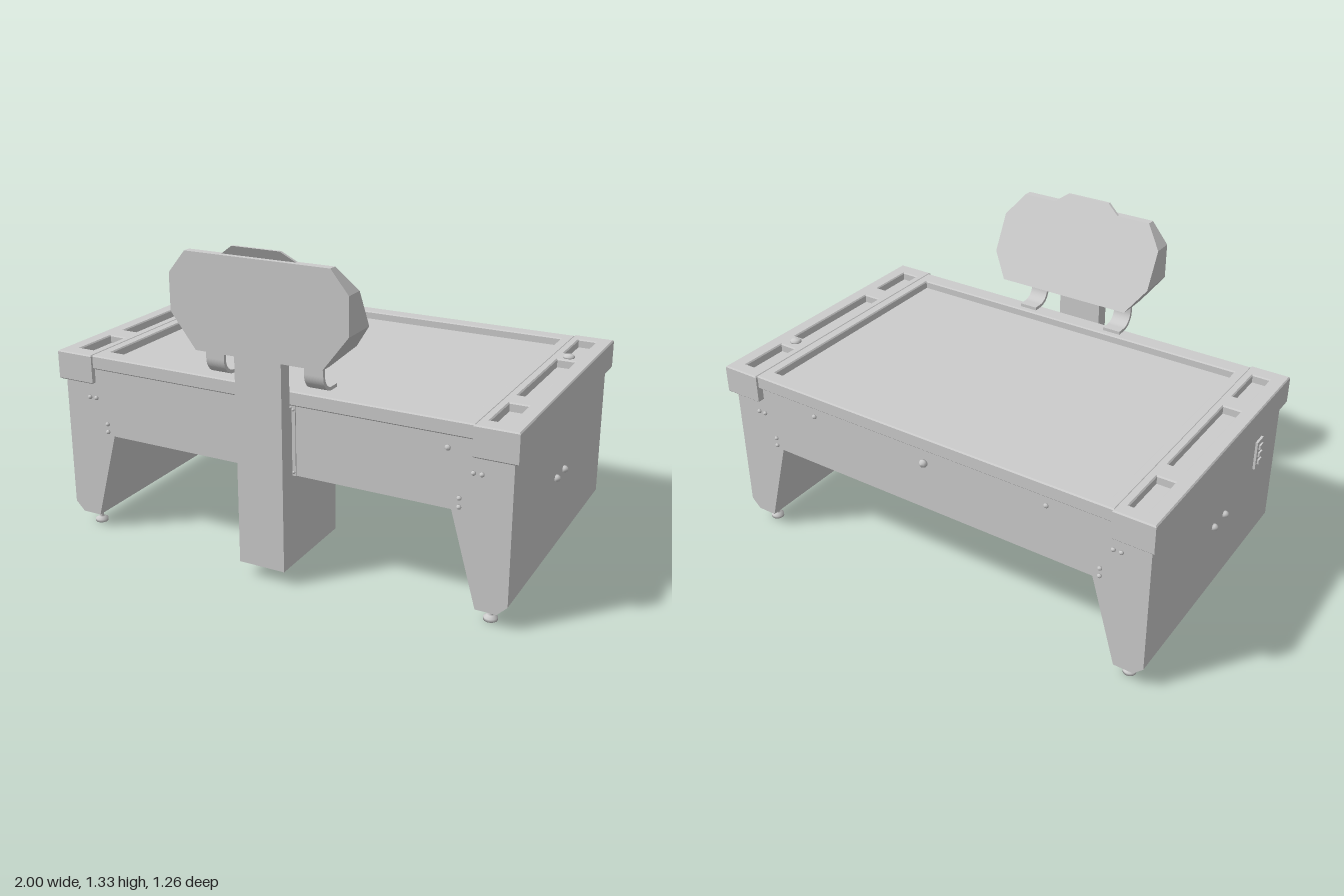
import * as THREE from 'three';
import { ConvexGeometry } from 'three/addons/geometries/ConvexGeometry.js';

const grey = new THREE.MeshStandardMaterial({ color: 0xcccccc });

export function createModel() {
  const model = new THREE.Group();

  const add = (name, geometry, x = 0, y = 0, z = 0) => {
    const mesh = new THREE.Mesh(geometry, grey);
    mesh.name = name;
    mesh.position.set(x, y, z);
    model.add(mesh);
    return mesh;
  };

  // Box given by its limits
  const box = (name, x0, x1, y0, y1, z0, z1) =>
    add(name, new THREE.BoxGeometry(x1 - x0, y1 - y0, z1 - z0), (x0 + x1) / 2, (y0 + y1) / 2, (z0 + z1) / 2);

  const polygon = (points) => new THREE.Shape(points.map(([x, y]) => new THREE.Vector2(x, y)));
  const rect = ([x0, x1, z0, z1]) => polygon([[x0, -z1], [x1, -z1], [x1, -z0], [x0, -z0]]);

  // Horizontal slab with rectangular holes and a fine edge bevel
  const slab = (name, outline, holes, y0, y1) => {
    const b = 0.005;
    const shape = rect(outline);
    shape.holes = holes.map(rect);
    const geometry = new THREE.ExtrudeGeometry(shape, {
      depth: y1 - y0 - 2 * b, bevelThickness: b, bevelSize: b, bevelOffset: -b, bevelSegments: 1,
    });
    geometry.rotateX(-Math.PI / 2);
    add(name, geometry, 0, y0 + b, 0);
  };

  // Small domed bolt head whose axis points along +y before turning
  const bolt = (name, r, h, x, y, z, rx = 0, rz = 0) => {
    const profile = [[0, 0], [r, 0], [r, h * 0.4], [r * 0.7, h * 0.85], [0, h]];
    const geometry = new THREE.LatheGeometry(profile.map(([a, c]) => new THREE.Vector2(a, c)), 16);
    add(name, geometry, x, y, z).rotation.set(rx, 0, rz);
  };

  // Body with solid tapered legs; its top is the playfield and pocket floor
  const half = [[0.75, 0.44], [0.855, 0.06], [0.94, 0.06], [0.98, 0.1], [0.98, 0.75]];
  const mirrored = half.map(([x, y]) => [-x, y]).reverse();
  const body = new THREE.ExtrudeGeometry(polygon([...half, ...mirrored]), { depth: 1.15, bevelEnabled: false });
  add('body', body, 0, 0, -0.6);

  // Rim around the playfield and the end caps with three pockets each
  slab('playfieldRim', [-0.835, 0.835, -0.62, 0.56], [[-0.79, 0.79, -0.555, 0.485]], 0.725, 0.784);
  for (const s of [-1, 1]) {
    const span = (a, b) => (s > 0 ? [a, b] : [-b, -a]);
    const pockets = [[-0.57, -0.36], [-0.27, 0.21], [0.3, 0.5]].map((z) => [...span(0.865, 0.938), ...z]);
    slab('endCap', [...span(0.83, 1), -0.63, 0.57], pockets, 0.662, 0.785);
  }
  bolt('topKnob', 0.024, 0.016, 0.9, 0.784, -0.31);

  // Levelling feet
  const foot = [[0, 0], [0.027, 0], [0.027, 0.012], [0.014, 0.02], [0.009, 0.024], [0.009, 0.065]];
  const footGeometry = new THREE.LatheGeometry(foot.map(([r, y]) => new THREE.Vector2(r, y)), 20);
  for (const x of [-0.897, 0.897]) {
    for (const z of [-0.54, 0.49]) add('foot', footGeometry, x, 0, z);
  }

  // Bolts on the front and back faces
  const faces = [[0.55, Math.PI / 2], [-0.6, -Math.PI / 2]];
  for (const [z, turn] of faces) {
    for (const s of [-1, 1]) {
      for (const [x, y] of [[0.83, 0.597], [0.862, 0.597], [0.78, 0.49], [0.78, 0.455]]) {
        bolt('sideBolt', 0.009, 0.01, s * x, y, z, turn);
      }
    }
  }
  bolt('frontButton', 0.011, 0.01, 0.73, 0.675, 0.55, Math.PI / 2);
  bolt('backButton', 0.017, 0.02, 0, 0.655, -0.6, -Math.PI / 2);
  for (const x of [-0.55, 0.55]) bolt('backBolt', 0.01, 0.01, x, 0.675, -0.6, -Math.PI / 2);

  // Bolts on the ends, and the switch plate on the right end
  for (const s of [-1, 1]) {
    for (const z of [-0.055, 0.045]) bolt('endBolt', 0.014, 0.02, s * 0.98, 0.41, z, 0, -s * Math.PI / 2);
  }
  box('switchPlate', -0.99, -0.98, 0.47, 0.6, 0.31, 0.37);
  for (const y of [0.5, 0.535, 0.57]) box('switchButton', -0.997, -0.985, y - 0.01, y + 0.01, 0.325, 0.355);

  // Pedestal running under the table, with the post rising in front
  box('pedestalBase', -0.1, 0.1, 0.06, 0.46, 0.2, 0.63);
  box('post', -0.1, 0.1, 0.46, 0.92, 0.57, 0.63);
  box('postMount', -0.1, 0.1, 0.46, 0.72, 0.545, 0.57);
  box('postFlange', -0.115, 0.115, 0.44, 0.725, 0.545, 0.555);
  for (const x of [-0.107, 0.107]) {
    for (const y of [0.455, 0.71]) bolt('flangeBolt', 0.006, 0.008, x, y, 0.554, Math.PI / 2);
  }

  // Display head: flat front, sloped screen side, chamfered corners
  const slope = (y) => 0.415 + (y - 0.95) * 0.53;
  const headPoints = [];
  for (const s of [-1, 1]) {
    for (const [x, y] of [[0.305, 1.29], [0.378, 1.2], [0.378, 1.05]]) {
      headPoints.push(new THREE.Vector3(s * x, y, 0.63), new THREE.Vector3(s * x, y, slope(y)));
    }
    headPoints.push(new THREE.Vector3(s * 0.27, 0.91, 0.63), new THREE.Vector3(s * 0.27, 0.91, 0.57));
    headPoints.push(new THREE.Vector3(s * 0.302, 0.95, slope(0.95)));
  }
  add('displayHead', new ConvexGeometry(headPoints));

  // Raised crest continuing the sloped screen side
  const crest = new THREE.ExtrudeGeometry(
    polygon([[-0.17, 1.28], [0.17, 1.28], [0.1, 1.328], [-0.1, 1.328]]), { depth: 0.012, bevelEnabled: false });
  const pos = crest.attributes.position;
  for (let i = 0; i < pos.count; i++) pos.setZ(i, pos.getZ(i) + slope(pos.getY(i)));
  crest.computeVertexNormals();
  add('crest', crest);

  // Curved brackets under the head
  const hook = new THREE.Shape();
  hook.moveTo(0.588, 0.93);
  hook.lineTo(0.588, 0.87);
  hook.absarc(0.52, 0.87, 0.068, 0, -Math.PI / 2, true);
  hook.lineTo(0.48, 0.802);
  hook.lineTo(0.48, 0.816);
  hook.lineTo(0.52, 0.816);
  hook.absarc(0.52, 0.87, 0.054, -Math.PI / 2, 0, false);
  hook.lineTo(0.574, 0.93);
  const hookGeometry = new THREE.ExtrudeGeometry(hook, { depth: 0.08, bevelEnabled: false, curveSegments: 12 });
  hookGeometry.rotateY(-Math.PI / 2);
  for (const x of [-0.213, 0.213]) add('headBracket', hookGeometry, x + 0.04, 0, 0);

  return model;
}
